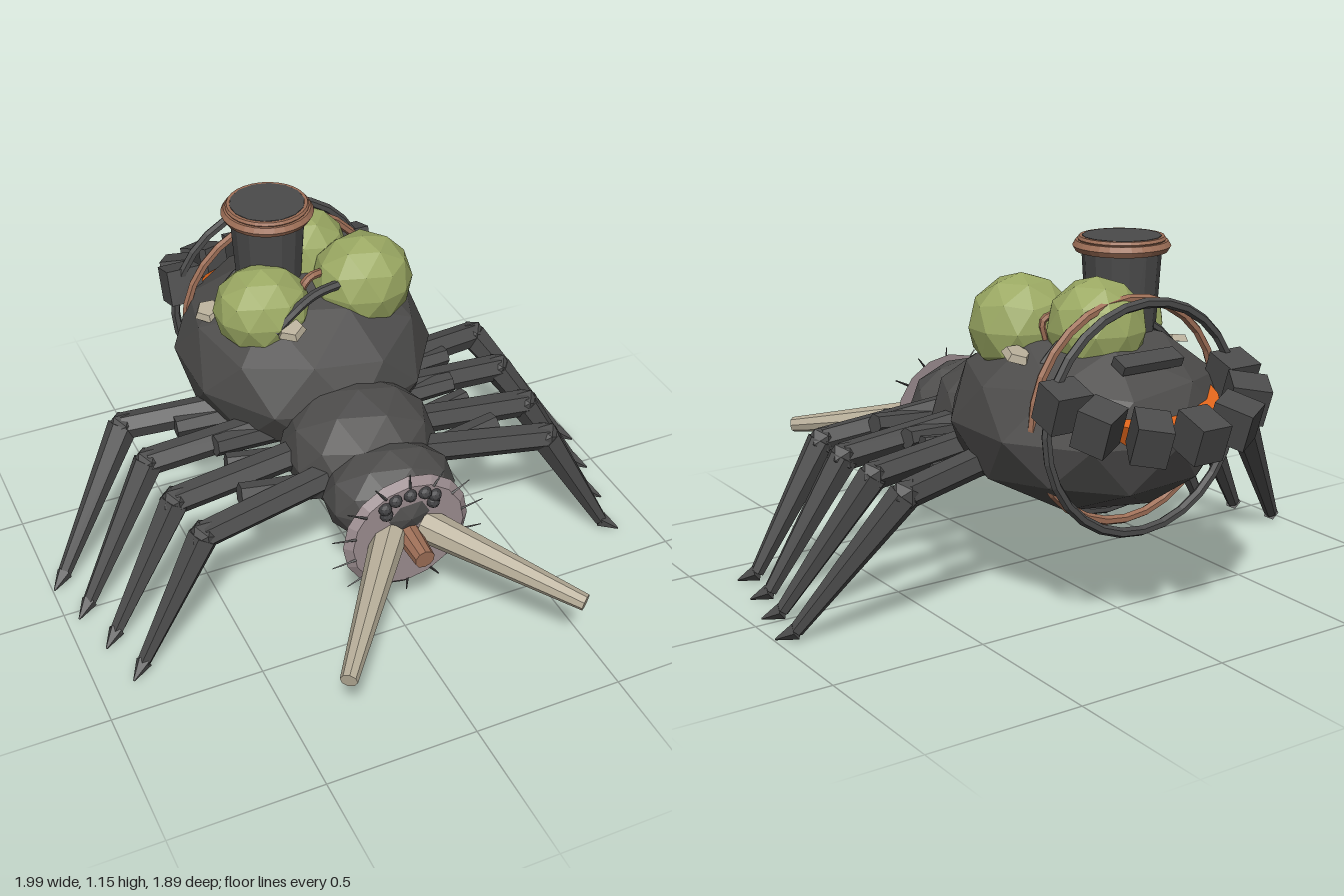
import * as THREE from 'three';

const mat = (name, color) => {
  const m = new THREE.MeshStandardMaterial({ color, flatShading: true });
  m.name = name;
  return m;
};

export function createModel() {
  const M = {
    shell: mat('dark shell', 0x4e4d4c),
    iron: mat('dark iron', 0x4b4b4b),
    eye: mat('eye black', 0x404042),
    copper: mat('copper', 0x9e6f57),
    sac: mat('olive sac', 0x9ba963),
    bone: mat('bone', 0xb7ae99),
    gum: mat('mauve gum', 0x9b8c8f),
    glow: mat('orange glow', 0xe0651b),
  };
  const root = new THREE.Group();
  root.name = 'spiderMachine';
  const V = (x, y, z) => new THREE.Vector3(x, y, z);

  const add = (name, geo, m, pos = [0, 0, 0], parent = root) => {
    const mesh = new THREE.Mesh(geo, m);
    mesh.name = name;
    mesh.position.set(...pos);
    parent.add(mesh);
    return mesh;
  };
  // Low-poly ellipsoid, turned so a vertex sits on top and the equator is level
  const tilt = -Math.atan(2 / (1 + Math.sqrt(5)));
  const blob = (name, m, pos, r) =>
    add(name, new THREE.IcosahedronGeometry(1, 1).rotateZ(tilt).scale(...r), m, pos);
  // Tapered bar between two points
  const bar = (name, a, b, ra, rb, m, sides = 6, parent = root) => {
    const d = b.clone().sub(a);
    const mesh = add(name, new THREE.CylinderGeometry(rb, ra, d.length(), sides), m,
      a.clone().add(b).multiplyScalar(0.5).toArray(), parent);
    mesh.quaternion.setFromUnitVectors(V(0, 1, 0), d.normalize());
    return mesh;
  };

  // Body
  blob('abdomen', M.shell, [0, 0.605, -0.33], [0.432, 0.298, 0.458]);
  blob('thorax', M.shell, [0, 0.505, 0.125], [0.255, 0.2, 0.25]);
  blob('head', M.shell, [0, 0.475, 0.36], [0.218, 0.155, 0.163]);

  // Mouth disc with a ring of teeth
  const disc = new THREE.CylinderGeometry(0.19, 0.215, 0.022, 16).rotateX(Math.PI / 2);
  add('mouthDisc', disc, M.gum, [0, 0.402, 0.495]);
  for (let i = 0; i < 14; i++) {
    const a = (i / 14) * Math.PI * 2 - Math.PI / 2, c = Math.cos(a), s = Math.sin(a);
    bar('tooth', V(c * 0.185, 0.402 + s * 0.185, 0.506), V(c * 0.265, 0.402 + s * 0.235, 0.502), 0.005, 0.002, M.iron, 4);
  }
  bar('feedingTube', V(0, 0.4, 0.48), V(0, 0.39, 0.62), 0.042, 0.033, M.copper, 10);

  // Eyes in an arc above the mouth
  [[0, 0.56], [0.05, 0.555], [0.085, 0.535], [0.08, 0.51]].forEach(([x, y], i) => {
    for (const s of i ? [-1, 1] : [1]) blob('eye', M.eye, [s * x, y, 0.505], [0.022, 0.022, 0.025]);
  });

  // Tusks and legs, mirrored
  const legs = [ // z of hip, knee and foot; x of knee and foot; x, y and z of brace tip
    [0.25, 0.3, 0.335, 0.6, 0.835, 0.45, 0.5, 0.22],
    [0.1, 0.11, 0.165, 0.625, 0.87, 0.43, 0.49, 0.05],
    [-0.08, -0.11, 0.0, 0.64, 0.91, 0.43, 0.49, -0.05],
    [-0.21, -0.325, -0.165, 0.655, 0.945, 0.5, 0.46, -0.235],
  ];
  for (const s of [-1, 1]) {
    bar('tusk', V(s * 0.06, 0.41, 0.49), V(s * 0.395, 0.32, 0.925), 0.056, 0.027, M.bone, 8);
    legs.forEach(([zh, zk, zf, xk, xf, xb, yb, zb]) => {
      const leg = new THREE.Group();
      leg.name = s > 0 ? 'leftLeg' : 'rightLeg';
      root.add(leg);
      const knee = V(s * xk, 0.45, zk), ankle = V(s * xf, 0.035, zf);
      bar('thigh', V(s * 0.15, 0.505, zh), knee, 0.048, 0.046, M.iron, 6, leg);
      bar('hipBrace', V(s * 0.15, 0.465, zh), V(s * xb, yb, zb), 0.045, 0.036, M.iron, 6, leg);
      add('knee', new THREE.IcosahedronGeometry(0.052, 0), M.iron, knee.toArray(), leg);
      bar('shin', knee, ankle, 0.051, 0.023, M.iron, 6, leg);
      bar('claw', ankle, V(s * (xf + 0.05), 0.005, zf + 0.04), 0.028, 0.003, M.iron, 5, leg);
    });
  }

  // Sacs on the back
  blob('sac', M.sac, [-0.18, 0.852, -0.23], [0.162, 0.145, 0.152]);
  blob('sac', M.sac, [0.168, 0.88, -0.215], [0.17, 0.162, 0.158]);
  blob('sac', M.sac, [0.045, 0.895, -0.435], [0.158, 0.157, 0.152]);

  // Chimney
  add('chimney', new THREE.CylinderGeometry(0.125, 0.1, 0.4, 14), M.iron, [-0.1, 0.94, -0.365]);
  add('chimneyCap', new THREE.CylinderGeometry(0.122, 0.122, 0.012, 14), M.iron, [-0.1, 1.147, -0.365]);
  const ring = (name, r, t, m, pos, flat) => {
    const g = new THREE.TorusGeometry(r, t, 6, 28);
    if (flat) g.rotateX(Math.PI / 2);
    return add(name, g, m, pos);
  };
  ring('chimneyBand', 0.132, 0.019, M.copper, [-0.1, 1.122, -0.365], true);
  ring('chimneyRim', 0.126, 0.01, M.copper, [-0.1, 1.143, -0.365], true);

  // Hoops around the abdomen
  ring('ironHoop', 0.352, 0.016, M.iron, [0, 0.645, -0.615]);
  ring('copperHoop', 0.343, 0.015, M.copper, [0, 0.65, -0.53]);
  ring('buriedHoop', 0.307, 0.014, M.iron, [0, 0.62, -0.44]);

  // Short pipes between the sacs
  const pipe = (pts, r, m) => add('pipe', new THREE.TubeGeometry(
    new THREE.CatmullRomCurve3(pts.map(p => V(...p))), 10, r, 6), m);
  pipe([[-0.19, 0.84, -0.095], [-0.13, 0.89, -0.1], [-0.04, 0.925, -0.125], [0.07, 0.935, -0.14]], 0.016, M.iron);
  pipe([[-0.08, 0.86, -0.2], [-0.03, 0.94, -0.2], [0.03, 0.94, -0.22]], 0.014, M.copper);
  pipe([[0.18, 0.86, -0.36], [0.19, 0.92, -0.36], [0.1, 0.94, -0.36]], 0.012, M.copper);

  // Bone chips in the shell
  [[-0.14, 0.848, -0.085], [-0.32, 0.8, -0.36], [0.28, 0.83, -0.36]].forEach((p, i) => {
    const chip = add('boneChip', new THREE.CylinderGeometry(0.038, 0.05, 0.022, 5), M.bone, p);
    chip.rotation.set(i === 0 ? 0.3 : -0.1, i, -p[0]);
  });
  add('rearPlate', new THREE.BoxGeometry(0.22, 0.03, 0.06), M.iron, [0, 0.825, -0.63]).rotation.x = -0.4;

  // Tilted rear crown of blocks around a glowing vent
  const crown = new THREE.Group();
  crown.name = 'rearCrown';
  crown.position.set(0, 0.74, -0.64);
  crown.rotation.x = -0.33;
  root.add(crown);
  for (let i = -3; i <= 3; i++) {
    const a = (i * Math.PI) / 6;
    add('crownBlock', new THREE.BoxGeometry(0.105, 0.12, 0.12), M.iron,
      [0.315 * Math.sin(a), 0, -0.25 * Math.cos(a)], crown).rotation.y = -a;
  }
  add('glowVent', new THREE.CylinderGeometry(0.24, 0.225, 0.085, 20).scale(1, 1, 0.82), M.glow, [0, -0.062, 0.008], crown);

  return root;
}
